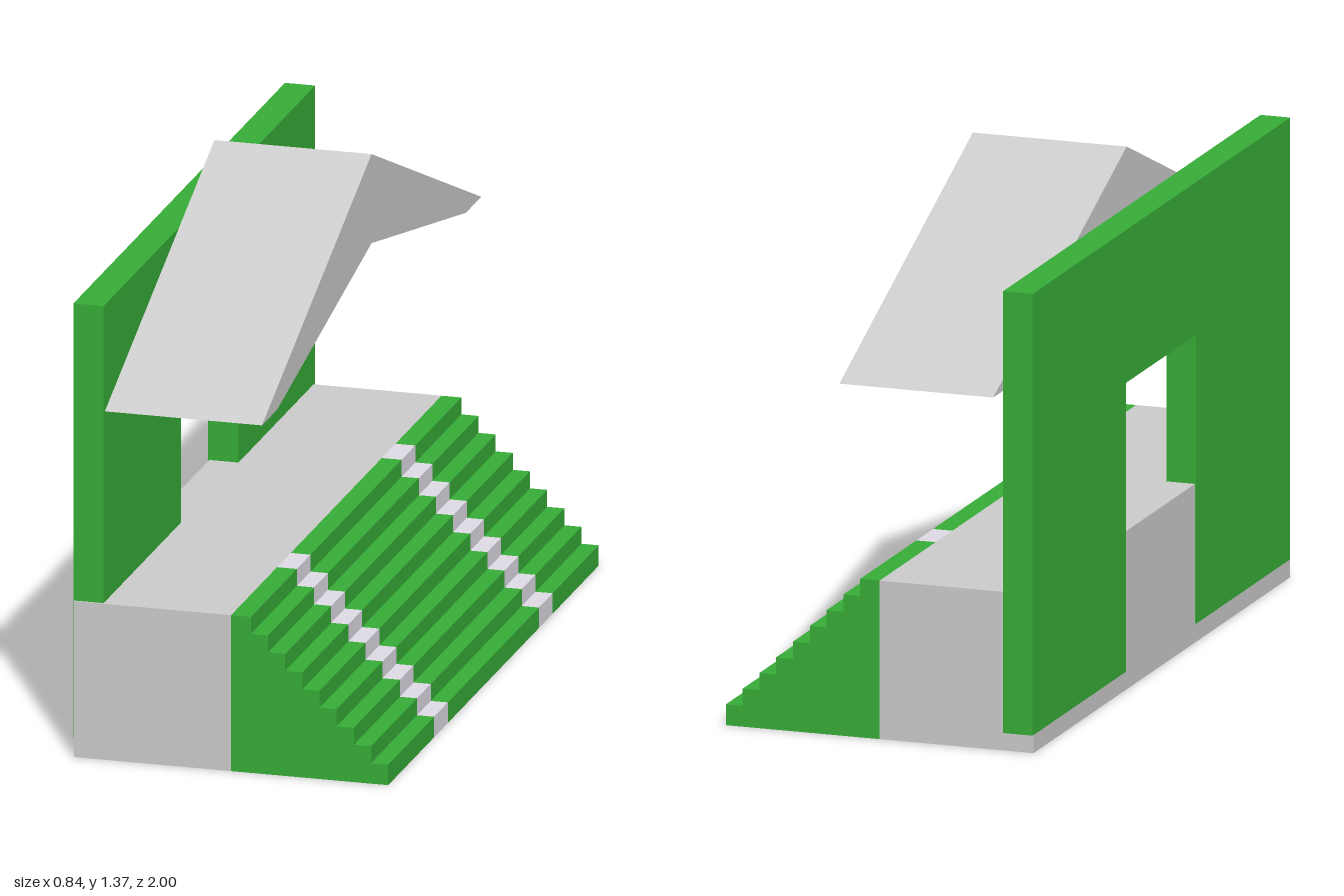
import * as THREE from 'three';

const grey = new THREE.MeshStandardMaterial({ color: 0xcccccc });
const green = new THREE.MeshStandardMaterial({ color: 0x37ad37 });
const pale = new THREE.MeshStandardMaterial({ color: 0xe0dce6 });

const toShape = (pts) => new THREE.Shape(pts.map(([x, y]) => new THREE.Vector2(x, y)));
const extrude = (pts, depth) =>
  new THREE.ExtrudeGeometry(toShape(pts), { depth, bevelEnabled: false });

// Extrudes a (-z, y) outline along x, from x0 to x1
function extrudeX(pts, x0, x1) {
  return extrude(pts, x1 - x0).rotateY(Math.PI / 2).translate(x0, 0, 0);
}

export function createModel() {
  const model = new THREE.Group();
  const add = (name, geometry, material) => {
    const mesh = new THREE.Mesh(geometry, material);
    mesh.name = name;
    model.add(mesh);
  };

  const zBack = -0.945, zFront = 0.975, height = 0.42;

  // Platform block behind the steps
  add('platform', new THREE.BoxGeometry(0.42, height, zFront - zBack)
    .translate(-0.21, height / 2, (zBack + zFront) / 2), grey);

  // Solid stepped profile: nine equal treads going down towards +x
  const steps = 9, top = 0.053, run = (0.42 - top) / (steps - 1), rise = (height - 0.055) / (steps - 1);
  const profile = [[0, 0], [0.42, 0]];
  for (let i = steps - 1; i >= 0; i--) {
    const y = height - i * rise;
    profile.push([top + i * run, y]);
    profile.push([i > 0 ? top + (i - 1) * run : 0, y]);
  }

  // Seating blocks alternate with pale stair aisles
  const cuts = [zBack, -0.525, -0.4, 0.43, 0.555, zFront];
  for (let i = 0; i < cuts.length - 1; i++) {
    const aisle = i % 2 === 1;
    add(aisle ? 'aisleSteps' : 'seatingTiers',
      extrude(profile, cuts[i + 1] - cuts[i]).translate(0, 0, cuts[i]),
      aisle ? pale : green);
  }

  // Rear wall with a doorway open to its lower edge
  add('rearWall', extrudeX([
    [-0.97, 0.05], [-0.265, 0.05], [-0.265, 0.815], [0.26, 0.815],
    [0.26, 0.05], [0.96, 0.05], [0.96, 1.22], [-0.97, 1.22],
  ], -0.423, -0.342), green);

  // Gabled roof slab, thick at the ridge and tapering to the eaves
  add('roof', extrudeX([
    [-1, 0.947], [-0.86, 0.947], [0, 1.13], [0.86, 0.947], [1, 0.947], [0, 1.37],
  ], -0.33, 0.09), grey);

  return model;
}
